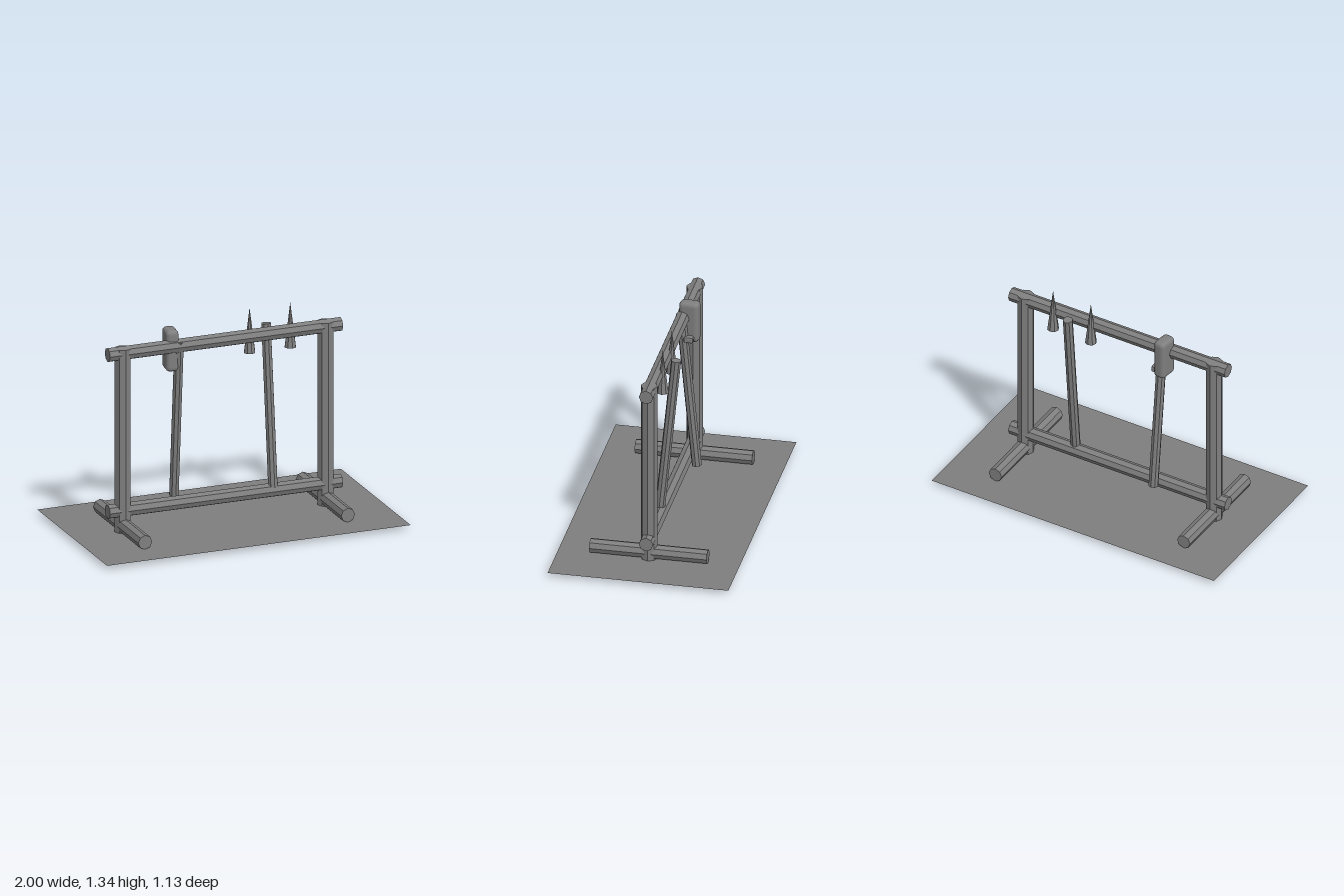
import * as THREE from 'three';
import { RoundedBoxGeometry } from 'three/addons/geometries/RoundedBoxGeometry.js';

export function createModel() {
  const model = new THREE.Group();
  model.name = 'toolRack';
  const grey = new THREE.MeshStandardMaterial({ color: 0x7f7f7f, flatShading: true, side: THREE.DoubleSide });
  grey.name = 'grey';

  const add = (name, geometry, x = 0, y = 0, z = 0) => {
    const mesh = new THREE.Mesh(geometry, grey);
    mesh.name = name;
    mesh.position.set(x, y, z);
    model.add(mesh);
    return mesh;
  };

  // Eight-sided pole running between two points
  const pole = (name, from, to, radius) => {
    const a = new THREE.Vector3(...from);
    const b = new THREE.Vector3(...to);
    const mesh = add(name, new THREE.CylinderGeometry(radius, radius, a.distanceTo(b), 8));
    mesh.position.copy(a).add(b).multiplyScalar(0.5);
    mesh.quaternion.setFromUnitVectors(new THREE.Vector3(0, 1, 0), b.sub(a).normalize());
    return mesh;
  };

  // Thin ground sheet, just above the undersides of the feet
  add('groundSheet', new THREE.PlaneGeometry(2, 1.127).rotateX(-Math.PI / 2), 0, 0.0265, 0);

  // Frame: posts with crossing feet, and two long beams
  for (const [side, x] of [['left', 0.668], ['right', -0.668]]) {
    pole(side + 'Post', [x, 0, 0], [x, 1.207, 0], 0.052);
    pole(side + 'Foot', [x, 0.07, -0.366], [x, 0.07, 0.366], 0.0455);
  }
  pole('topBeam', [-0.767, 1.175, 0], [0.767, 1.175, 0], 0.0445);
  pole('bottomBeam', [-0.767, 0.163, 0], [0.767, 0.163, 0], 0.0445);

  // Two leaning shafts, tilted opposite ways
  pole('leaningShaft', [0.319, 0.182, 0.008], [0.315, 1.21, -0.093], 0.031);
  pole('hammerHandle', [-0.292, 0.182, -0.093], [-0.299, 1.205, 0.008], 0.031);

  // Hammer head with a small lug at its lower edge
  const head = add('hammerHead', new RoundedBoxGeometry(0.08, 0.265, 0.125, 2, 0.026), -0.337, 1.147, -0.04);
  head.rotation.y = -0.12;
  add('hammerLug', new RoundedBoxGeometry(0.06, 0.04, 0.06, 1, 0.01), -0.292, 1.045, -0.045);

  // Spikes behind the top beam
  for (const x of [0.184, 0.452]) {
    add('spike', new THREE.ConeGeometry(0.037, 0.288, 8), x, 1.2, -0.038);
  }
  return model;
}
